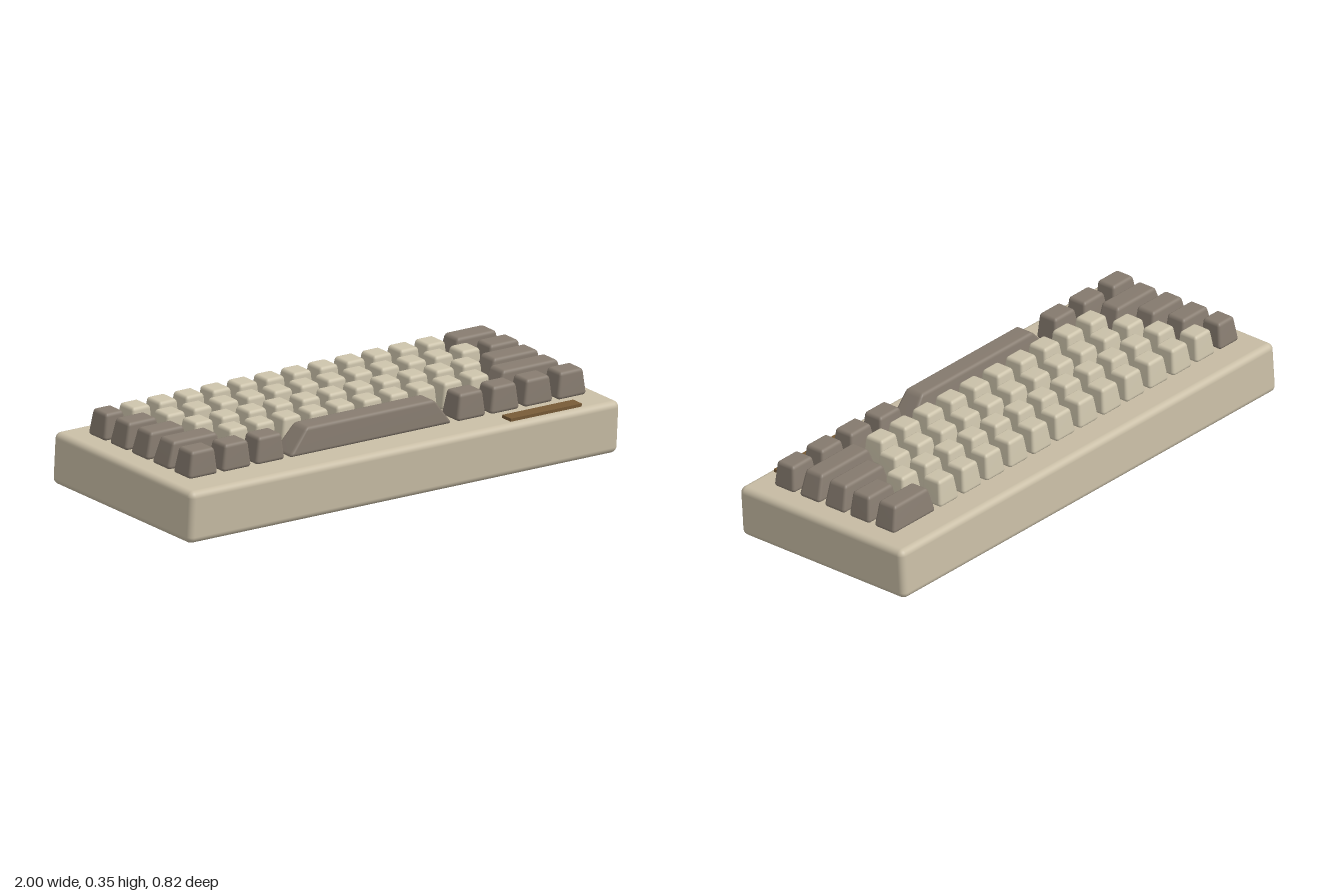
import * as THREE from 'three';
import { mergeVertices } from 'three/addons/utils/BufferGeometryUtils.js';
import { RoundedBoxGeometry } from 'three/addons/geometries/RoundedBoxGeometry.js';

const material = (name, color) => {
  const m = new THREE.MeshStandardMaterial({ color });
  m.name = name;
  return m;
};

const UNIT = 0.1248;     // key pitch
const GAP = 0.0208;      // space between neighbouring keys
const KEY_HEIGHT = 0.102;
const TAPER = 0.22;      // how much narrower a key is at its top
const CASE = { width: 2, height: 0.2, depth: 0.815 };

// Rounded box whose cross-section shrinks towards the top
function keycapGeometry(width) {
  const box = new RoundedBoxGeometry(width, KEY_HEIGHT, UNIT - GAP, 3, 0.014);
  box.deleteAttribute('uv');
  box.deleteAttribute('normal');
  const geometry = mergeVertices(box, 1e-5);
  const p = geometry.attributes.position;
  for (let i = 0; i < p.count; i++) {
    const s = 1 - TAPER * (p.getY(i) / KEY_HEIGHT + 0.5);
    p.setX(i, p.getX(i) * s);
    p.setZ(i, p.getZ(i) * s);
  }
  geometry.computeVertexNormals();
  return geometry;
}

export function createModel() {
  const caseColor = material('case beige', 0xc8bda5);
  const lightKey = material('light key', 0xcbc2aa);
  const darkKey = material('dark key', 0x867b6f);
  const badgeColor = material('badge bronze', 0x775a36);

  const model = new THREE.Group();
  model.name = 'keyboard';

  // Everything sits on the case, which is tilted up at the back
  const body = new THREE.Group();
  body.name = 'tiltedBody';
  body.position.y = 0.1265;
  body.rotation.x = THREE.MathUtils.degToRad(4);
  model.add(body);

  const add = (parent, name, geometry, mat, x, y, z) => {
    const mesh = new THREE.Mesh(geometry, mat);
    mesh.name = name;
    mesh.position.set(x, y, z);
    parent.add(mesh);
  };

  add(body, 'case', new RoundedBoxGeometry(CASE.width, CASE.height, CASE.depth, 4, 0.025),
    caseColor, 0, 0, 0);
  add(body, 'badge', new THREE.BoxGeometry(0.33, 0.016, 0.051),
    badgeColor, 0.672, CASE.height / 2 + 0.004, 0.355);

  // Key widths in units, back row first
  const ones = n => Array(n).fill(1);
  const rows = [
    [...ones(13), 2],
    [1.5, ...ones(12), 1.5],
    [1.75, ...ones(11), 2.25],
    [2.25, ...ones(10), 2.75],
    [1.25, 1.25, 1.25, 6.25, 1.25, 1.25, 1.25, 1.25],
  ];
  const cache = {};
  const keyY = CASE.height / 2 + 0.007 + KEY_HEIGHT / 2;
  rows.forEach((widths, r) => {
    const row = new THREE.Group();
    row.name = `keyRow${r + 1}`;
    body.add(row);
    let x = -7.5 * UNIT;
    widths.forEach((w, i) => {
      const isDark = r === 4 || i === 0 || i === widths.length - 1;
      cache[w] ??= keycapGeometry(w * UNIT - GAP);
      const name = w > 6 ? 'spaceBar' : isDark ? 'modifierKey' : 'key';
      add(row, name, cache[w], isDark ? darkKey : lightKey,
        x + w * UNIT / 2, keyY, (r - 2) * UNIT);
      x += w * UNIT;
    });
  });

  return model;
}
